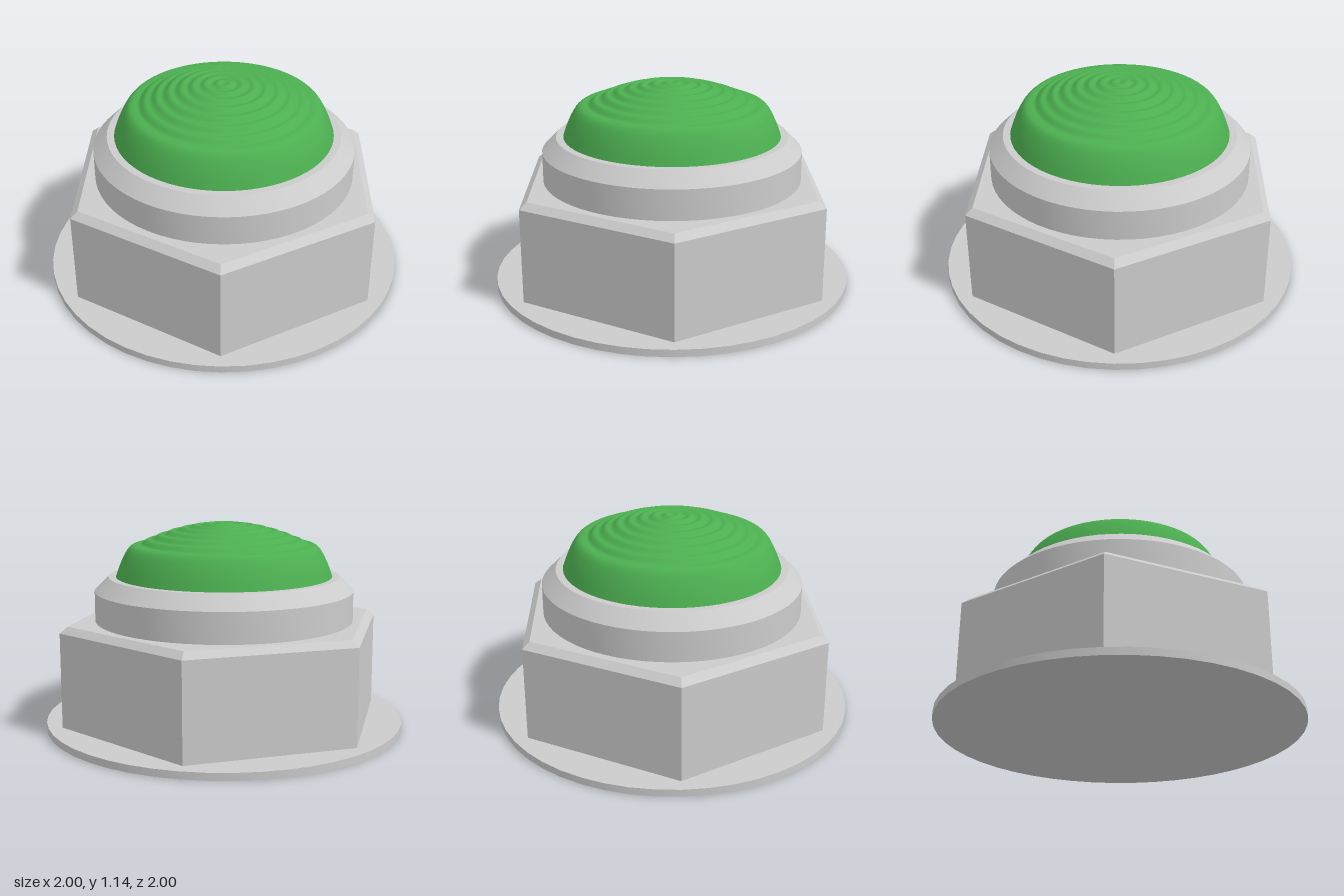
import * as THREE from 'three';
import { toCreasedNormals } from 'three/addons/utils/BufferGeometryUtils.js';

export function createModel() {
  const group = new THREE.Group();
  const grey = new THREE.MeshStandardMaterial({ color: 0xcccccc });
  const green = new THREE.MeshStandardMaterial({ color: 0x4caf50 });

  const add = (name, geometry, material = grey) => {
    const mesh = new THREE.Mesh(geometry, material);
    mesh.name = name;
    group.add(mesh);
  };
  // Revolve [radius, height] pairs listed from bottom to top
  const revolve = (profile, segments) =>
    new THREE.LatheGeometry(profile.map(([r, y]) => new THREE.Vector2(r, y)), segments);

  // Thin round base flange
  const flange = new THREE.CylinderGeometry(1, 1, 0.04, 48);
  flange.translate(0, 0.02, 0);
  add('baseFlange', flange);

  // Hexagonal nut with corners on the x axis and a chamfered top edge
  const corner = 0.8 / Math.cos(Math.PI / 6);
  const topCorner = 0.762 / Math.cos(Math.PI / 6);
  const hex = revolve([[0, 0.04], [corner, 0.04], [corner, 0.565], [topCorner, 0.6], [0, 0.6]], 6);
  hex.rotateY(Math.PI / 2);
  add('hexNut', toCreasedNormals(hex, 0.1));

  // Round collar with a bevelled rim
  const collar = revolve([[0, 0.6], [0.718, 0.6], [0.718, 0.765], [0.64, 0.842], [0, 0.842]], 64);
  add('collar', toCreasedNormals(collar, 0.4));

  // Domed lens: curved skirt, then concentric ripples up to the crown
  const skirt = new THREE.SplineCurve([
    [0.6, 0.842], [0.575, 0.91], [0.545, 0.97], [0.52, 1.003], [0.495, 1.016], [0.46, 1.018],
  ].map(([r, y]) => new THREE.Vector2(r, y)));
  const dome = skirt.getPoints(20).map((p) => [p.x, p.y]);
  const rippleRadius = 0.46, ripples = 7, steps = ripples * 10;
  for (let i = 1; i <= steps; i++) {
    const t = 1 - i / steps;
    const wave = -0.005 * Math.cos(2 * Math.PI * ripples * t);
    dome.push([rippleRadius * t, 1.132 - 0.109 * t * t + wave]);
  }
  add('rippledLens', revolve(dome, 64), green);

  return group;
}
